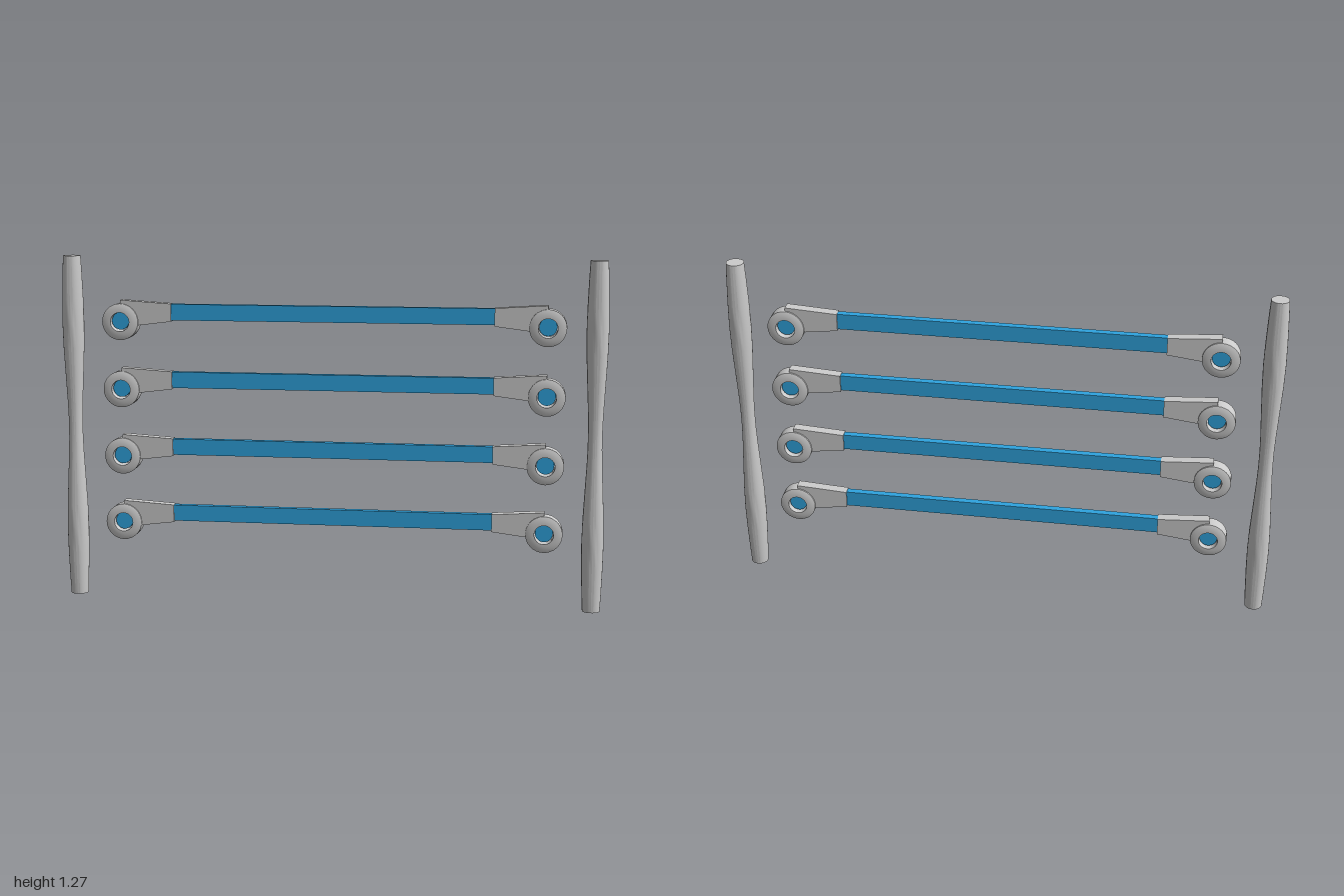
import * as THREE from 'three';
import { toCreasedNormals } from 'three/addons/utils/BufferGeometryUtils.js';

const grey = new THREE.MeshStandardMaterial({ color: 0xcccccc });
const blue = new THREE.MeshStandardMaterial({ color: 0x2fa4df });

const POLE_HEIGHT = 1.275;
const ROWS = [0.285, 0.535, 0.785, 1.035]; // heights of the ring centres
const ROD_OFFSET = 0.037; // rod centre above ring centre

function named(name, geometry, material) {
  const mesh = new THREE.Mesh(geometry, material);
  mesh.name = name;
  return mesh;
}

const lathe = (points, segments) => toCreasedNormals(
  new THREE.LatheGeometry(points.map(([r, y]) => new THREE.Vector2(r, y)), segments), 0.5);

// Pole swelling in each half and narrowing at the waist
function poleGeometry() {
  const half = [[0.032, 0], [0.035, 0.06], [0.0385, 0.16], [0.04, 0.25],
    [0.038, 0.34], [0.033, 0.44], [0.028, 0.54], [0.026, 0.6]];
  const upper = half.map(([r, y]) => [r, POLE_HEIGHT - y]).reverse();
  return lathe([[0, 0], ...half, ...upper, [0, POLE_HEIGHT]], 24);
}

// Ring with bevelled rims and an open hole, its axis along z
function ringGeometry() {
  const profile = [[0.035, -0.03], [0.052, -0.03], [0.067, -0.024],
    [0.067, 0.024], [0.052, 0.03], [0.035, 0.03], [0.035, -0.03]];
  return lathe(profile, 32).rotateX(Math.PI / 2);
}

// Tapered socket running from the rod to the ring, cut round the hole
function socketGeometry() {
  const shape = new THREE.Shape();
  shape.moveTo(0, 0.08);
  shape.lineTo(-0.19, 0.068);
  shape.lineTo(-0.19, 0.003);
  shape.lineTo(-0.07, -0.012);
  shape.absarc(0, 0, 0.052, Math.PI + 0.2, Math.PI / 2, true);
  shape.closePath();
  const depth = 0.037;
  return new THREE.ExtrudeGeometry(shape, { depth, bevelEnabled: false, curveSegments: 10 })
    .translate(0, 0, -depth / 2);
}

export function createModel() {
  const model = new THREE.Group();
  model.name = 'rodRack';

  // Side poles
  const pole = poleGeometry();
  for (const side of [-1, 1]) {
    const mesh = named(side > 0 ? 'leftPole' : 'rightPole', pole, grey);
    mesh.position.x = side * 0.96;
    model.add(mesh);
  }

  // Four rods, each with a socket, ring and pin at both ends
  const rod = new THREE.BoxGeometry(1.2, 0.059, 0.025);
  const socket = socketGeometry();
  const ring = ringGeometry();
  const pin = new THREE.CylinderGeometry(0.032, 0.032, 0.03, 32).rotateX(Math.PI / 2);

  ROWS.forEach((y, i) => {
    const row = new THREE.Group();
    row.name = `rodAssembly${i + 1}`;
    row.position.set(0.005, y, 0.005);

    const bar = named('rod', rod, blue);
    bar.position.y = ROD_OFFSET;
    row.add(bar);

    for (const side of [-1, 1]) {
      const end = new THREE.Group();
      end.name = side > 0 ? 'leftEnd' : 'rightEnd';
      end.position.x = side * 0.78;
      if (side < 0) end.rotation.y = Math.PI;
      const plug = named('pin', pin, blue);
      plug.position.y = 0.003;
      end.add(named('socket', socket, grey), named('ring', ring, grey), plug);
      row.add(end);
    }
    model.add(row);
  });

  return model;
}
